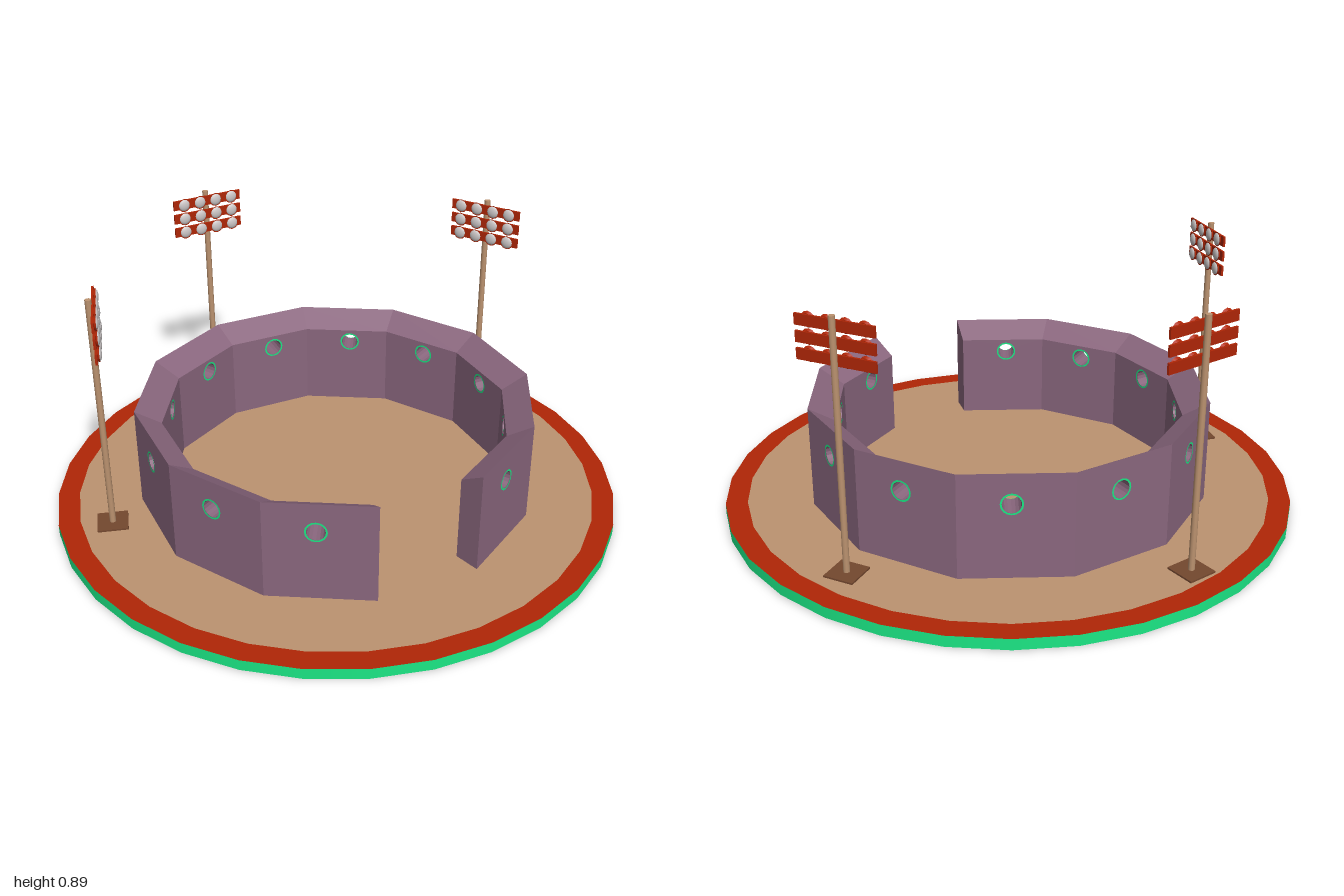
import * as THREE from 'three';

const mat = (name, color, extra = {}) => {
  const m = new THREE.MeshStandardMaterial({ color, ...extra });
  m.name = name;
  return m;
};

export function createModel() {
  const open = { side: THREE.DoubleSide };
  const tan = mat('tan', 0xbc9370, open);
  const red = mat('rust red', 0xb02606, open);
  const green = mat('green', 0x1cec88, open);
  const purple = mat('dusty purple', 0x8a677e);
  const brown = mat('brown', 0x74482f);
  const lens = mat('lens grey', 0xcfcaca);

  const model = new THREE.Group();
  const add = (parent, name, geometry, material, x = 0, y = 0, z = 0) => {
    const mesh = new THREE.Mesh(geometry, material);
    mesh.name = name;
    mesh.position.set(x, y, z);
    parent.add(mesh);
    return mesh;
  };

  // Round base, hollow underneath: green edge, red border and tan floor
  const H = 0.038, SEG = 32, INNER = 0.925;
  const base = new THREE.Group();
  base.name = 'base';
  model.add(base);
  add(base, 'baseEdge', new THREE.CylinderGeometry(1, 1, H, SEG, 1, true), green, 0, H / 2, 0);
  add(base, 'border', new THREE.RingGeometry(INNER, 1, SEG).rotateX(-Math.PI / 2), red, 0, H, 0);
  add(base, 'floor', new THREE.CircleGeometry(INNER, SEG).rotateX(-Math.PI / 2), tan, 0, H, 0);

  // Twelve-sided wall with one side left open; its top slopes inward
  const R = 0.703, RIN = 0.612, TOP = 0.4, TOPIN = 0.345, FOOT = H + 0.001;
  const c = Math.cos(Math.PI / 12), s = Math.sin(Math.PI / 12);
  const HOLE_X = -0.013, HOLE_Y = 0.297, HOLE_R = 0.031;
  const panelShape = new THREE.Shape([
    new THREE.Vector2(-R * s, FOOT), new THREE.Vector2(R * s, FOOT),
    new THREE.Vector2(R * s, TOP), new THREE.Vector2(-R * s, TOP),
  ]);
  panelShape.holes.push(new THREE.Path().absarc(HOLE_X, HOLE_Y, HOLE_R, 0, Math.PI * 2, true));
  const panelGeo = new THREE.ExtrudeGeometry(panelShape, {
    depth: (R - RIN) * c, bevelEnabled: false, curveSegments: 8,
  });
  panelGeo.translate(0, 0, RIN * c);
  const p = panelGeo.attributes.position;
  for (let i = 0; i < p.count; i++) {
    const isInner = p.getZ(i) < (R + RIN) / 2 * c;
    if (!isInner || Math.abs(p.getX(i)) < 0.1) continue;
    p.setX(i, p.getX(i) * RIN / R);
    if (p.getY(i) > 0.35) p.setY(i, TOPIN);
  }
  panelGeo.computeVertexNormals();
  // Thin painted ring round each hole
  const rimGeo = new THREE.RingGeometry(HOLE_R, HOLE_R + 0.006, 16);
  const wall = new THREE.Group();
  wall.name = 'wall';
  model.add(wall);
  for (let k = 0; k < 12; k++) {
    if (k === 1) continue; // entrance
    const section = new THREE.Group();
    section.name = 'wallSection';
    section.rotation.y = THREE.MathUtils.degToRad(1.4 + 30 * k);
    wall.add(section);
    add(section, 'wallPanel', panelGeo, purple);
    add(section, 'outerHoleRim', rimGeo, green, HOLE_X, HOLE_Y, R * c + 0.002);
    add(section, 'innerHoleRim', rimGeo, green, HOLE_X, HOLE_Y, RIN * c - 0.002).rotation.y = Math.PI;
  }

  // Floodlight masts: foot plate, pole, three bars of four lamps
  const footGeo = new THREE.BoxGeometry(0.105, 0.006, 0.105);
  const poleGeo = new THREE.CylinderGeometry(0.011, 0.011, 0.85, 10);
  const barGeo = new THREE.BoxGeometry(0.275, 0.036, 0.008);
  const housingGeo = new THREE.CylinderGeometry(0.026, 0.021, 0.008, 12).rotateX(Math.PI / 2);
  const lensGeo = new THREE.SphereGeometry(0.0225, 14, 10).scale(1, 1, 0.4);
  for (const [x, z, yaw] of [[-0.742, 0.345, 105.5], [-0.565, -0.645, 35.5], [0.51, -0.645, -26]]) {
    const mast = new THREE.Group();
    mast.name = 'floodlight';
    mast.position.set(x, 0, z);
    mast.rotation.y = THREE.MathUtils.degToRad(yaw);
    model.add(mast);
    add(mast, 'footPlate', footGeo, brown, 0, H + 0.004, 0);
    add(mast, 'pole', poleGeo, tan, 0, 0.465, 0);
    for (const y of [0.748, 0.802, 0.856]) {
      add(mast, 'lampBar', barGeo, red, 0, y, 0.012);
      for (let i = 0; i < 4; i++) {
        const lx = (i - 1.5) * 0.065;
        add(mast, 'lampHousing', housingGeo, red, lx, y, 0.018);
        add(mast, 'lampLens', lensGeo, lens, lx, y, 0.021);
      }
    }
  }
  return model;
}
